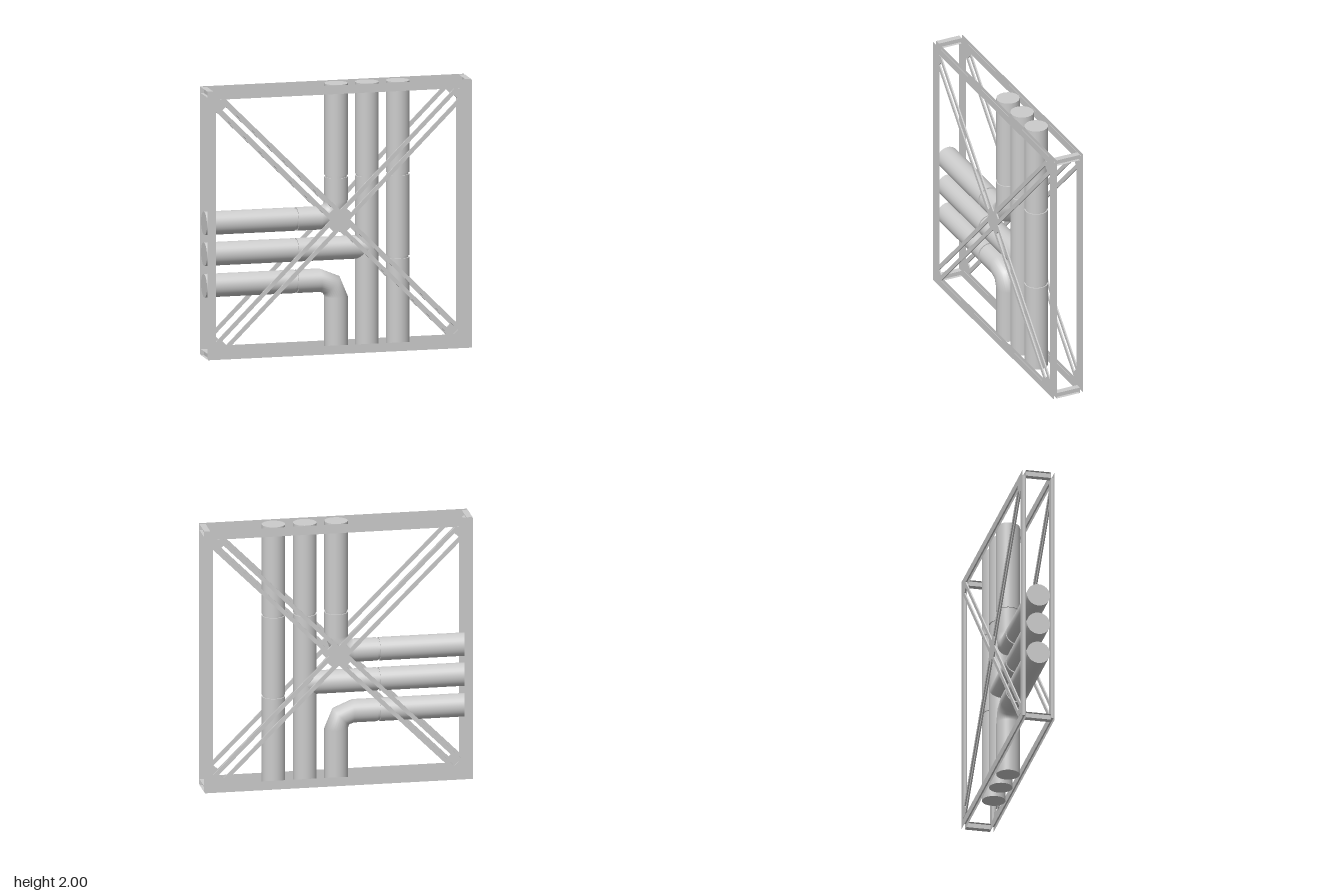
import * as THREE from 'three';

const R = 0.0865;                 // pipe radius
const BEND = 0.125;               // elbow centreline radius
const OUT = 0.12, IN = 0.094;     // flange planes of the frame beams
const solid = new THREE.MeshStandardMaterial({ color: 0xcccccc });
const sheet = new THREE.MeshStandardMaterial({ color: 0xcccccc, side: THREE.DoubleSide });

function add(parent, name, geometry, material, x = 0, y = 0, z = 0) {
  const mesh = new THREE.Mesh(geometry, material);
  mesh.name = name;
  mesh.position.set(x, y, z);
  parent.add(mesh);
  return mesh;
}

function polygon(points, Type = THREE.Shape) {
  return new Type(points.map(([x, y]) => new THREE.Vector2(x, y)));
}

const rect = (x0, y0, x1, y1) => [[x0, y0], [x1, y0], [x1, y1], [x0, y1]];

// Straight pipe run along y from a to b, with narrow joint grooves
function pipeRun(name, a, b, joints) {
  const run = new THREE.Group();
  run.name = name;
  const gap = 0.008;
  const stops = [a, ...joints.flatMap(j => [j - gap, j + gap]), b];
  for (let i = 0; i < stops.length - 1; i++) {
    const groove = i % 2 === 1;
    const r = groove ? R - 0.009 : R;
    const len = stops[i + 1] - stops[i];
    add(run, groove ? 'jointGroove' : 'pipeSection',
      new THREE.CylinderGeometry(r, r, len, 32), solid, 0, (stops[i] + stops[i + 1]) / 2);
  }
  return run;
}

// Square frame of I-beams: two flanges and a web between them
function beamFrame(side) {
  const frame = new THREE.Group();
  frame.name = side > 0 ? 'frontFrame' : 'backFrame';
  const ring = polygon(rect(-1, -1, 1, 1));
  ring.holes.push(polygon(rect(-0.94, -0.94, 0.94, 0.94), THREE.Path));
  const flange = new THREE.ShapeGeometry(ring);
  add(frame, 'outerFlange', flange, sheet, 0, 1, side * OUT);
  add(frame, 'innerFlange', flange, sheet, 0, 1, side * IN);
  const zMid = side * (OUT + IN) / 2;
  for (const s of [-1, 1]) {
    const h = add(frame, 'horizontalWeb', new THREE.PlaneGeometry(1.94, OUT - IN), sheet, 0, 1 + s * 0.97, zMid);
    h.rotation.x = Math.PI / 2;
    const v = add(frame, 'verticalWeb', new THREE.PlaneGeometry(OUT - IN, 1.94), sheet, s * 0.97, 1, zMid);
    v.rotation.y = Math.PI / 2;
  }

  // Crossed braces: twin rails joined by plates at the centre and the corners
  const w = 0.053, slot = 0.022;
  const outline = polygon([[-1.276, -w], [1.276, -w], [1.329, 0], [1.276, w], [-1.276, w], [-1.329, 0]]);
  outline.holes.push(polygon(rect(-1.24, -slot, -0.095, slot), THREE.Path));
  outline.holes.push(polygon(rect(0.095, -slot, 1.24, slot), THREE.Path));
  const brace = new THREE.ExtrudeGeometry(outline, { depth: 0.01, bevelEnabled: false });
  brace.translate(0, 0, -0.005);
  for (const s of [-1, 1]) {
    add(frame, 'diagonalBrace', brace, solid, 0, 1, side * 0.117).rotation.z = s * Math.PI / 4;
  }
  return frame;
}

// Short I-beam tying the two frames together at a corner
function cornerTie(sx, sy) {
  const tie = new THREE.Group();
  tie.name = 'cornerTie';
  const size = 0.045;
  for (const s of [-1, 1]) {
    const f = add(tie, 'tieFlange', new THREE.PlaneGeometry(size, 2 * IN), sheet, 0, s * size / 2, 0);
    f.rotation.x = Math.PI / 2;
  }
  add(tie, 'tieWeb', new THREE.PlaneGeometry(2 * IN, size), sheet).rotation.y = Math.PI / 2;
  tie.position.set(sx * (1 - size / 2), 1 + sy * (1 - size / 2), 0);
  return tie;
}

export function createModel() {
  const model = new THREE.Group();
  model.name = 'pipeRack';

  for (const side of [-1, 1]) model.add(beamFrame(side));
  for (const sx of [-1, 1]) for (const sy of [-1, 1]) model.add(cornerTie(sx, sy));

  // Vertical runs: x, bottom, top, joints
  for (const [x, a, b, joints] of [
    [0, 1 + BEND, 2, [1.31]],
    [0, 0, 0.535 - BEND, []],
    [0.233, 0, 2, [1.31]],
    [0.467, 0, 2, [0.69, 1.31]],
  ]) {
    const run = pipeRun('verticalPipe', a, b, joints);
    run.position.x = x;
    model.add(run);
  }

  // Horizontal runs from the right side of the frame: height, end
  for (const [y, end] of [[1, -BEND], [0.77, 0.233], [0.535, -BEND]]) {
    const run = pipeRun('horizontalPipe', -end, 1, [0.31]);
    run.rotation.z = Math.PI / 2;
    run.position.y = y;
    model.add(run);
  }

  // Two-segment elbows, one turning up and one turning down
  const elbow = new THREE.TorusGeometry(BEND, R, 32, 2, Math.PI / 2);
  add(model, 'upperElbow', elbow, solid, -BEND, 1 + BEND).rotation.z = -Math.PI / 2;
  add(model, 'lowerElbow', elbow, solid, -BEND, 0.535 - BEND);

  return model;
}
